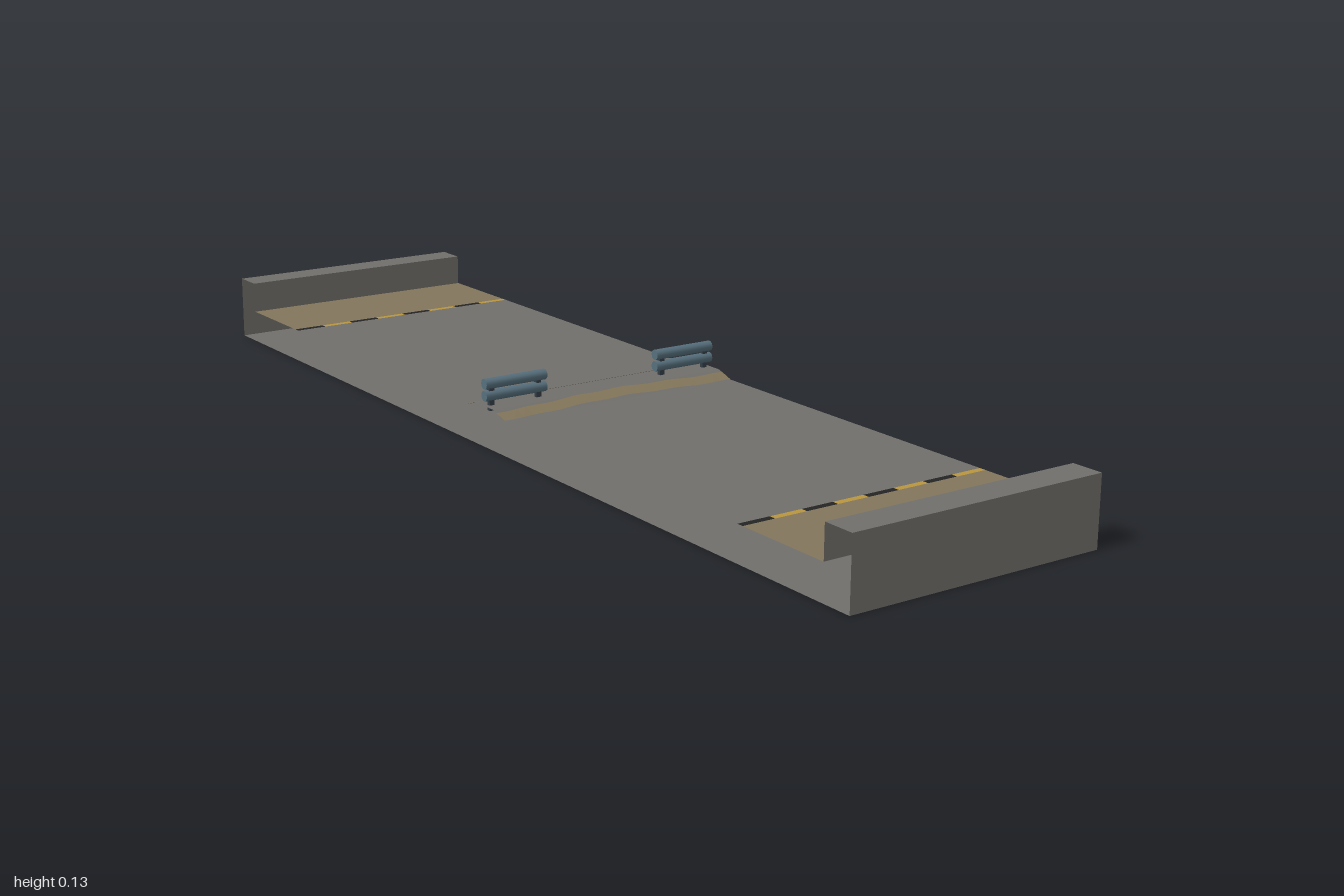
import * as THREE from 'three';

const W = 0.25;         // half width of the deck
const FLOOR = 0.064;    // deck height
const WALL = 0.125;     // end wall height
const HUMP = 0.012;     // rise of the median

// height of the deck with its low sloped median
function deckHeight(z) {
  const t = THREE.MathUtils.clamp((0.065 - Math.abs(z)) / 0.035, 0, 1);
  return FLOOR + HUMP * t;
}

// open sheet: a [z, y] path swept along x from x0 to x1, with flat faces
function sheet(name, path, material, x0 = -W, x1 = W) {
  const pos = [];
  for (let i = 0; i < path.length - 1; i++) {
    const [za, ya] = path[i], [zb, yb] = path[i + 1];
    pos.push(x0, ya, za, x1, ya, za, x1, yb, zb);
    pos.push(x0, ya, za, x1, yb, zb, x0, yb, zb);
  }
  return meshFrom(name, pos, material);
}

function meshFrom(name, pos, material) {
  const g = new THREE.BufferGeometry();
  g.setAttribute('position', new THREE.Float32BufferAttribute(pos, 3));
  g.computeVertexNormals();
  const m = new THREE.Mesh(g, material);
  m.name = name;
  return m;
}

// wavy band of dirt lying on one slope of the median
function dirtBand(side, material) {
  const pos = [], n = 24;
  const point = (i, outer) => {
    const x = -W + (2 * W * i) / n;
    const drift = 0.005 * Math.cos((x / W) * Math.PI) + 0.0015 * Math.sin(x * 60);
    const z = side * ((outer ? 0.062 : 0.036) - drift);
    return [x, deckHeight(z) + 0.0008, z];
  };
  for (let i = 0; i < n; i++) {
    const near = side > 0; // the edge with the larger z comes first
    const a = point(i, near), b = point(i + 1, near);
    const c = point(i + 1, !near), d = point(i, !near);
    pos.push(...a, ...b, ...c, ...a, ...c, ...d);
  }
  return meshFrom('medianDirt', pos, material);
}

// two round rails on a pair of posts
function barrier(side, rail, post) {
  const group = new THREE.Group();
  group.name = side > 0 ? 'leftBarrier' : 'rightBarrier';
  for (const y of [0.094, 0.116]) {
    const m = new THREE.Mesh(new THREE.CylinderGeometry(0.0098, 0.0098, 0.128, 10), rail);
    m.name = 'rail';
    m.rotation.z = Math.PI / 2;
    m.position.set(side * 0.186, y, 0);
    group.add(m);
  }
  for (const x of [0.137, 0.236]) {
    const m = new THREE.Mesh(new THREE.BoxGeometry(0.01, 0.05, 0.008), post);
    m.name = 'post';
    m.position.set(side * x, 0.091, 0);
    group.add(m);
  }
  return group;
}

export function createModel() {
  const make = (name, color, open) => {
    const m = new THREE.MeshStandardMaterial({ color });
    m.name = name;
    if (open) m.side = THREE.DoubleSide;
    return m;
  };
  const concrete = make('concrete', 0x716f6b, true);
  const dirt = make('dirt', 0x82765b, true);
  const yellow = make('hazardYellow', 0xb8963f, true);
  const black = make('hazardBlack', 0x242424, true);
  const rail = make('railBlueGrey', 0x566f7c);
  const post = make('postDark', 0x343e46);

  const model = new THREE.Group();
  model.name = 'roadSegment';

  // end walls, open at their sides
  model.add(sheet('frontWall', [[1, 0], [1, WALL], [0.94, WALL], [0.94, FLOOR]], concrete));
  model.add(sheet('backWall', [[-0.94, FLOOR], [-0.94, WALL], [-1, WALL], [-1, 0]], concrete));

  // deck with the median, and the underside
  model.add(sheet('deck', [0.737, 0.065, 0.03, -0.03, -0.065, -0.737].map((z) => [z, deckHeight(z)]), concrete));
  model.add(sheet('underside', [[-1, 0], [1, 0]], concrete));

  // dirt aprons and hazard stripes at both ends
  model.add(sheet('frontApron', [[0.94, FLOOR], [0.75, FLOOR]], dirt));
  model.add(sheet('backApron', [[-0.75, FLOOR], [-0.94, FLOOR]], dirt));
  for (const z of [0.75, -0.737]) {
    for (let i = 0; i < 8; i++) {
      const x = -W + i * W / 4;
      model.add(sheet('hazardStripe', [[z, FLOOR], [z - 0.013, FLOOR]], i % 2 ? yellow : black, x, x + W / 4));
    }
  }

  for (const side of [1, -1]) {
    model.add(dirtBand(side, dirt));
    model.add(barrier(side, rail, post));
  }
  return model;
}
